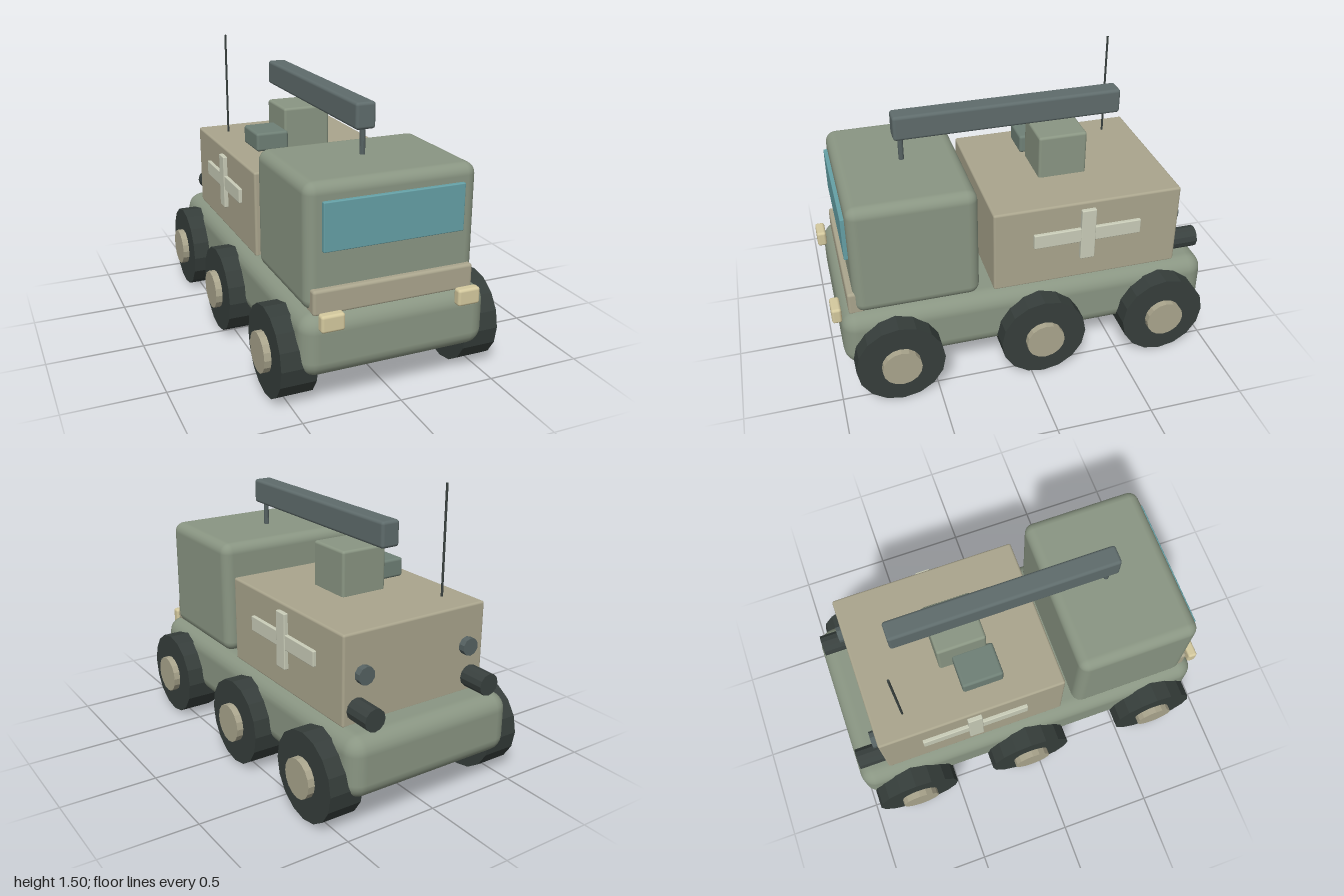
import * as THREE from 'three';
import { RoundedBoxGeometry } from 'three/addons/geometries/RoundedBoxGeometry.js';

const material = (color, flatShading = false) => {
  const m = new THREE.MeshStandardMaterial({ color });
  m.flatShading = flatShading;
  return m;
};

const green = material(0x8a9683);
const sage = material(0x6f8076);
const sand = material(0xaaa58d);
const slate = material(0x5f6c6c);
const pale = material(0xc9ccb8);
const glass = material(0x65a0a6);
const lamp = material(0xd4c99e);
const rubber = material(0x363e3b, true);
const dark = material(0x39413f, true);
const steel = material(0x566262, true);
const hubSand = material(0xaaa58d, true);

export function createModel() {
  const model = new THREE.Group();
  model.name = 'utilityTruck';

  const add = (name, geometry, mat, x, y, z) => {
    const mesh = new THREE.Mesh(geometry, mat);
    mesh.name = name;
    mesh.position.set(x, y, z);
    model.add(mesh);
    return mesh;
  };

  // Rounded block given by its extents along each axis
  const block = (name, mat, [x0, x1], [y0, y1], [z0, z1], radius) =>
    add(name, new RoundedBoxGeometry(x1 - x0, y1 - y0, z1 - z0, 3, radius), mat,
      (x0 + x1) / 2, (y0 + y1) / 2, (z0 + z1) / 2);

  // Cylinder along an axis
  const rod = (name, mat, axis, radius, length, sides, x, y, z) => {
    const g = new THREE.CylinderGeometry(radius, radius, length, sides);
    if (axis === 'x') g.rotateZ(Math.PI / 2);
    if (axis === 'z') g.rotateX(Math.PI / 2);
    return add(name, g, mat, x, y, z);
  };

  // Body
  block('chassis', green, [-0.48, 0.48], [0.17, 0.485], [-1, 0.96], 0.085);
  block('cab', green, [-0.435, 0.435], [0.475, 1.085], [0.24, 0.885], 0.055);
  block('windshield', glass, [-0.357, 0.357], [0.768, 1.003], [0.86, 0.905], 0.005);
  block('bumper', sand, [-0.412, 0.412], [0.47, 0.595], [0.83, 0.915], 0.015);
  block('cargoBox', sand, [-0.42, 0.42], [0.475, 0.932], [-0.835, 0.168], 0.012);

  // Roof equipment
  block('roofUnit', green, [-0.13, 0.13], [0.92, 1.165], [-0.415, -0.155], 0.014);
  block('sideUnit', sage, [-0.3, -0.12], [0.95, 1.05], [-0.343, -0.125], 0.014);
  block('boom', slate, [-0.052, 0.052], [1.213, 1.345], [-0.62, 0.58], 0.016);
  rod('boomPost', steel, 'y', 0.014, 0.16, 10, 0, 1.15, 0.54);
  rod('antenna', dark, 'y', 0.006, 0.58, 8, -0.29, 1.21, -0.668);

  // Mirrored details
  for (const s of [-1, 1]) {
    const side = s > 0 ? 'left' : 'right';
    const span = (a, b) => (s > 0 ? [a, b] : [-b, -a]);
    block(side + 'Headlight', lamp, span(0.29, 0.407), [0.425, 0.51], [0.95, 1], 0.014);
    block(side + 'CrossBar', pale, span(0.41, 0.438), [0.705, 0.785], [-0.617, -0.04], 0.005);
    block(side + 'CrossPost', pale, span(0.41, 0.442), [0.6, 0.893], [-0.368, -0.29], 0.005);
    rod(side + 'Exhaust', dark, 'z', 0.057, 0.18, 12, s * 0.343, 0.557, -0.888);
    rod(side + 'RearLamp', steel, 'z', 0.046, 0.06, 10, s * 0.312, 0.725, -0.84);

    // Three axles
    for (const z of [0.693, -0.062, -0.732]) {
      rod(side + 'Tyre', rubber, 'x', 0.228, 0.18, 16, s * 0.48, 0.228, z);
      rod(side + 'Hub', hubSand, 'x', 0.101, 0.06, 16, s * 0.575, 0.228, z);
    }
  }
  return model;
}
